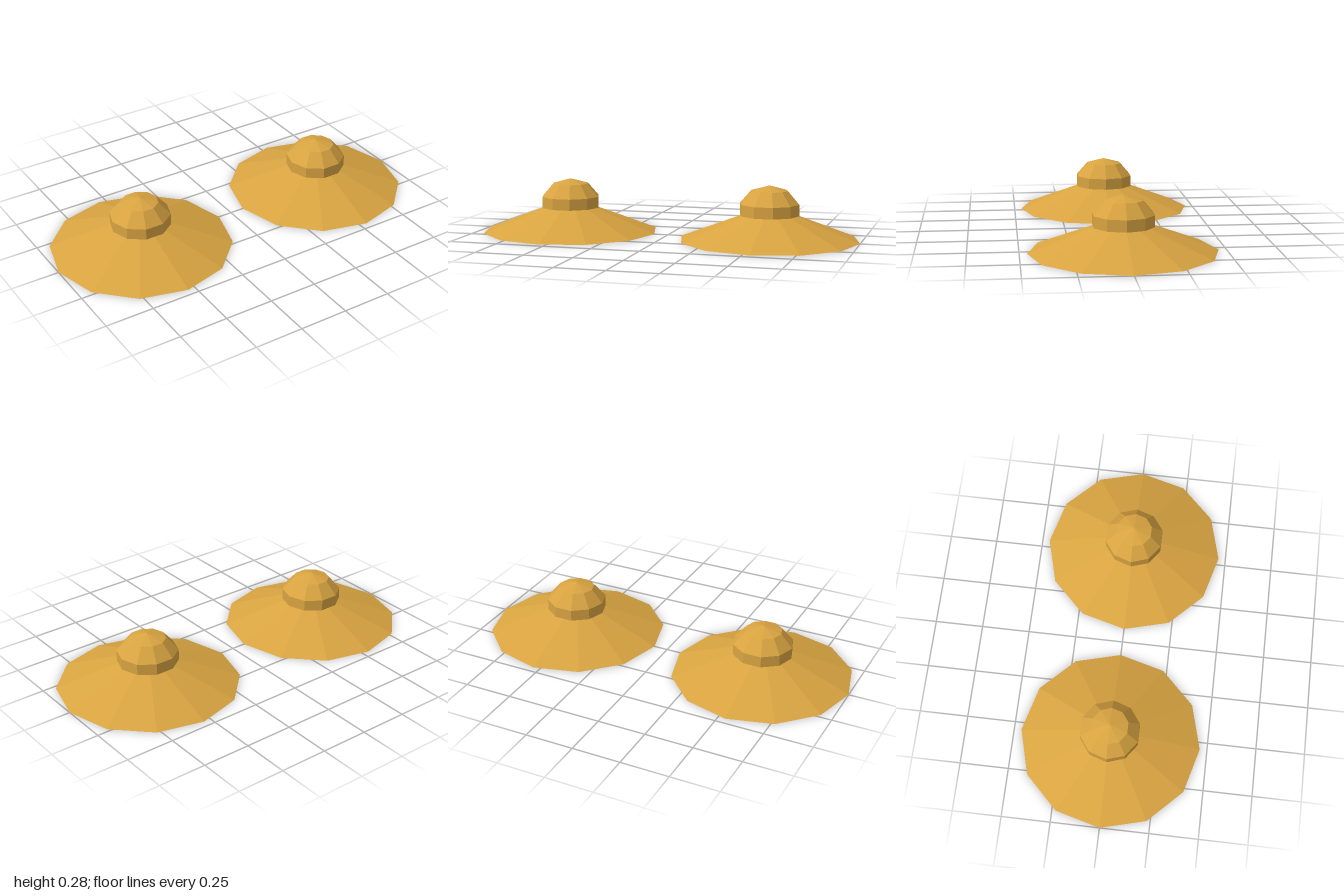
import * as THREE from 'three';

const straw = new THREE.MeshStandardMaterial({ color: 0xd9a441 });
straw.name = 'straw gold';

// Faceted ring section with its first corner on the x axis
function section(name, rTop, rBottom, y0, y1, sides, open) {
  const smooth = new THREE.CylinderGeometry(
    rTop, rBottom, y1 - y0, sides, 1, open, Math.PI / 2, Math.PI * 2);
  smooth.translate(0, (y0 + y1) / 2, 0);
  const geometry = smooth.toNonIndexed();
  geometry.computeVertexNormals();
  const mesh = new THREE.Mesh(geometry, straw);
  mesh.name = name;
  return mesh;
}

function makeHat(name, x) {
  const hat = new THREE.Group();
  hat.name = name;
  hat.add(
    // wide sloping brim, closed underneath
    section('brim', 0.135, 0.463, 0, 0.127, 12, false),
    // upright band around the crown
    section('crownBand', 0.154, 0.154, 0.127, 0.185, 10, false),
    // sloping crown and its shallow pointed cap
    section('crownSlope', 0.0945, 0.154, 0.185, 0.253, 10, true),
    section('crownCap', 0, 0.0945, 0.253, 0.279, 10, true)
  );
  hat.position.x = x;
  return hat;
}

export function createModel() {
  const model = new THREE.Group();
  model.name = 'hatPair';
  model.add(makeHat('leftHat', 0.537), makeHat('rightHat', -0.537));
  return model;
}
